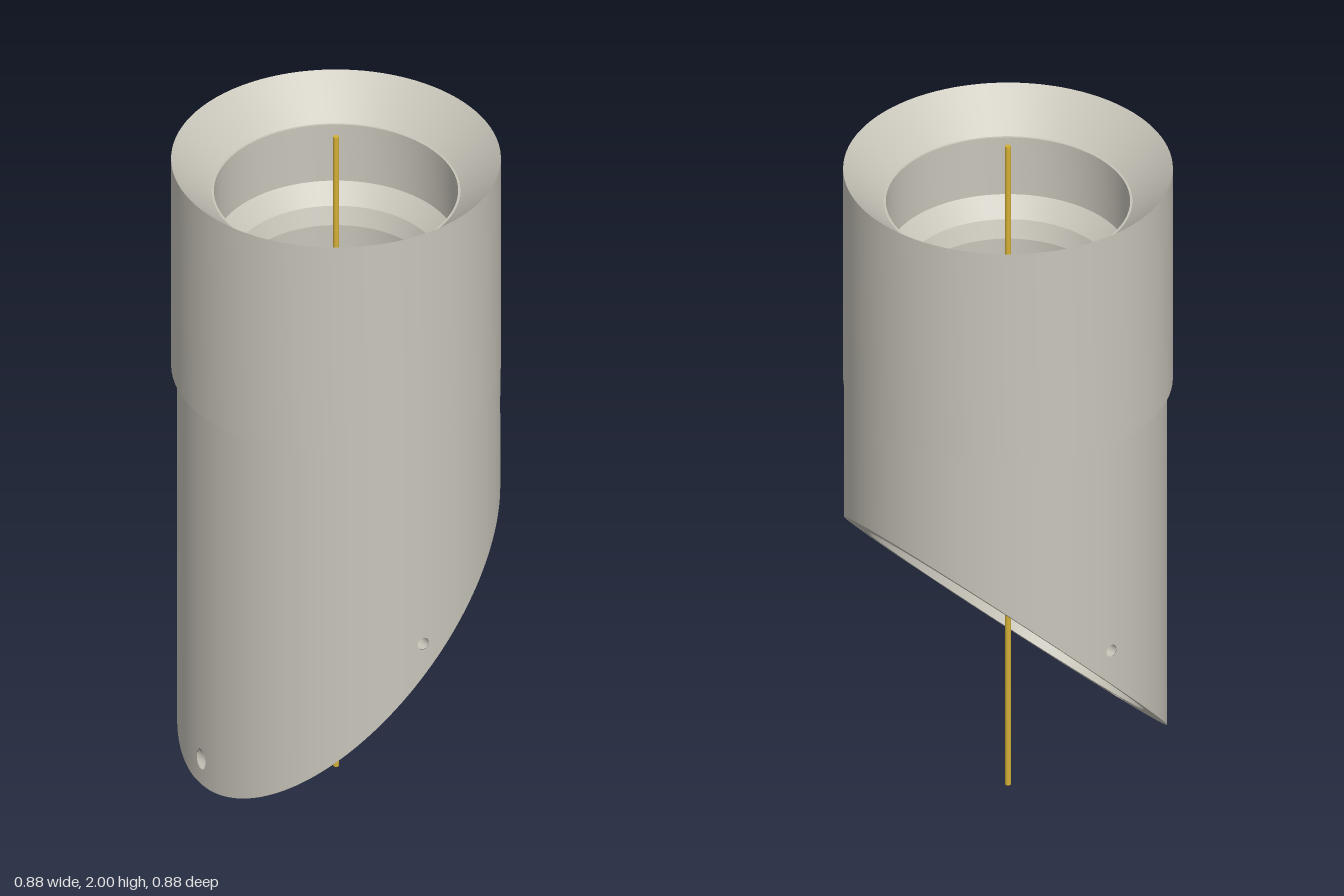
import * as THREE from 'three';
import { mergeGeometries, toCreasedNormals } from 'three/addons/utils/BufferGeometryUtils.js';

const SEG = 96;
const R = 0.4325, CX = 0.0085;      // lower barrel radius and its small x offset
const CUT = 0.507;                  // 45 degree cut plane: y = x + CUT
const STEP_Y = 1.275;               // where the upper sleeve begins
const BORE = 0.262;
const DEPTH = 0.0707;               // recess depth, square to the cut
const PIN = 0.018, RIM_HOLE = 0.022, RIM_S = -0.5445;
const Q = Math.SQRT2;

// Turn a closed or tubular geometry inside out
function inward(geo) {
  geo.index.array.reverse();
  const n = geo.attributes.normal;
  for (let i = 0; i < n.array.length; i++) n.array[i] *= -1;
  return geo;
}

function ellipsePath(cx, cy, rx, ry, PathType = THREE.Path) {
  const p = new PathType();
  p.absellipse(cx, cy, rx, ry, 0, Math.PI * 2, false, 0);
  return p;
}

// Outer wall of the lower barrel: unrolled strips, some pierced, wrapped on the cylinder
function barrelWall() {
  const step = Math.PI * 2 / SEG;
  const holes = {
    [SEG / 4]: { y: 0.62, rx: PIN, ry: PIN },
    [SEG / 2]: { y: 0.162, rx: RIM_HOLE, ry: RIM_HOLE * Q },
    [SEG * 3 / 4]: { y: 0.62, rx: PIN, ry: PIN },
  };
  const low = a => CX + R * Math.cos(a) + CUT;
  const strips = [];
  for (let i = 0; i < SEG;) {
    const hole = holes[i + 1], span = hole ? 2 : 1;
    const a0 = i * step, a1 = (i + span) * step, am = (a0 + a1) / 2;
    const shape = new THREE.Shape([
      [a0, low(a0)], [am, low(am)], [a1, low(a1)], [a1, STEP_Y], [am, STEP_Y], [a0, STEP_Y],
    ].map(p => new THREE.Vector2(...p)));
    if (hole) shape.holes.push(ellipsePath(am, hole.y, hole.rx / R, hole.ry));
    const geo = new THREE.ShapeGeometry(shape, 20);
    const p = geo.attributes.position, n = geo.attributes.normal;
    for (let k = 0; k < p.count; k++) {
      const c = Math.cos(p.getX(k)), s = -Math.sin(p.getX(k));
      p.setXYZ(k, CX + R * c, p.getY(k), R * s);
      n.setXYZ(k, c, 0, s);
    }
    strips.push(geo);
    i += span;
  }
  return mergeGeometries(strips);
}

// Upper sleeve, funnel mouth and bore in one turned profile; the bore ends on the recess floor
function sleeveAndBore() {
  const profile = [
    [0.42, STEP_Y], [0.4415, STEP_Y], [0.4415, 1.93], [0.333, 1.828], [0.327, 1.828],
    [0.327, 1.65], [0.28, 1.6], [BORE, 1.55], [BORE, 1.0],
  ].map(p => new THREE.Vector2(...p));
  const geo = new THREE.LatheGeometry(profile, SEG);
  const p = geo.attributes.position;
  for (let k = 0; k < p.count; k++) {
    if (p.getY(k) < 1.1) p.setY(k, p.getX(k) + CUT + DEPTH * Q);
  }
  return toCreasedNormals(geo, 0.3);
}

export function createModel() {
  const model = new THREE.Group();
  const grey = new THREE.MeshStandardMaterial({ color: 0xc8c5ba });
  grey.name = 'warm grey';
  const gold = new THREE.MeshStandardMaterial({ color: 0xd4af37 });
  gold.name = 'gold';

  const add = (parent, name, geo, mat = grey) => {
    const mesh = new THREE.Mesh(geo, mat);
    mesh.name = name;
    parent.add(mesh);
    return mesh;
  };

  add(model, 'lowerBarrel', barrelWall());
  add(model, 'upperSleeveAndBore', sleeveAndBore());

  // Slanted end: local x runs up the slope, local y is z, local z points out of the cut
  const end = new THREE.Group();
  end.name = 'slantedEnd';
  end.matrixAutoUpdate = true;
  const basis = new THREE.Matrix4().makeBasis(
    new THREE.Vector3(1, 1, 0).normalize(),
    new THREE.Vector3(0, 0, 1),
    new THREE.Vector3(1, -1, 0).normalize());
  end.quaternion.setFromRotationMatrix(basis);
  end.position.set(0, CUT, 0);
  model.add(end);

  const rim = [0.011, 0, 0.502, 0.385];   // recess outline

  // Flat rim with its small hole
  const face = ellipsePath(CX * Q, 0, R * Q, R, THREE.Shape);
  face.holes.push(ellipsePath(...rim), ellipsePath(RIM_S, 0, RIM_HOLE, RIM_HOLE));
  add(end, 'rimFace', new THREE.ShapeGeometry(face, SEG));

  // Recess wall
  const wall = new THREE.CylinderGeometry(1, 1, DEPTH, SEG, 1, true);
  wall.rotateX(Math.PI / 2).scale(rim[2], rim[3], 1).translate(rim[0], 0, -DEPTH / 2);
  add(end, 'recessWall', inward(wall));

  // Recess floor, opened for the bore and two pin grooves
  const floor = ellipsePath(...rim, THREE.Shape);
  floor.holes.push(ellipsePath(DEPTH, 0, BORE * Q, BORE));
  const gs = CX * Q + DEPTH;
  for (const side of [1, -1]) {
    floor.holes.push(new THREE.Path([
      [gs - 0.016, 0.33], [gs + 0.016, 0.33], [gs + 0.016, 0.372], [gs - 0.016, 0.372],
    ].map(([s, z]) => new THREE.Vector2(s, z * side))));
  }
  const floorGeo = new THREE.ShapeGeometry(floor, SEG);
  floorGeo.translate(0, 0, -DEPTH);
  add(end, 'recessFloor', floorGeo);

  // Rim hole lining, trimmed to the barrel wall
  const lining = new THREE.CylinderGeometry(RIM_HOLE, RIM_HOLE, 0.1, 24, 1, true);
  lining.rotateX(Math.PI / 2).translate(RIM_S, 0, -0.05);
  const lp = lining.attributes.position;
  for (let k = 0; k < lp.count; k++) {
    if (lp.getZ(k) < -0.05) {
      const x = CX - Math.sqrt(R * R - lp.getY(k) ** 2);
      lp.setZ(k, Q * x - lp.getX(k));
    }
  }
  add(end, 'rimHoleLining', inward(lining));

  // Side pin holes
  for (const side of [1, -1]) {
    const pin = new THREE.CylinderGeometry(PIN, PIN, 0.102, 24);
    pin.rotateX(Math.PI / 2).translate(CX, 0.62, side * 0.381);
    add(model, side > 0 ? 'frontPinHole' : 'backPinHole', inward(pin));
  }

  // Thin rod along the axis
  const rod = new THREE.CylinderGeometry(0.008, 0.008, 2, 24);
  rod.translate(0, 1, 0);
  add(model, 'axisRod', rod, gold);

  return model;
}
